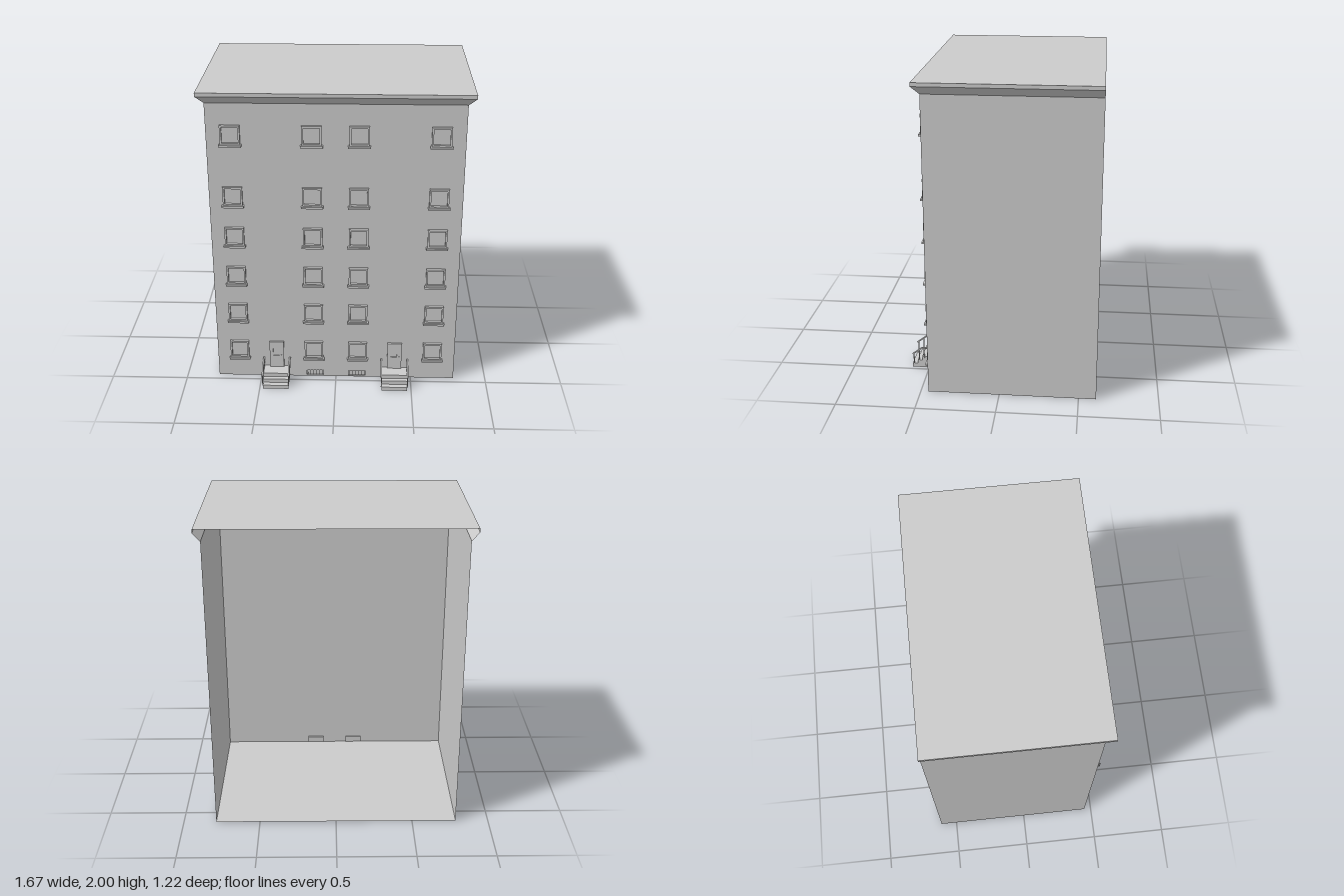
import * as THREE from 'three';

const material = new THREE.MeshStandardMaterial({ color: 0xcccccc, flatShading: true, side: THREE.DoubleSide });
const W = 0.787, FRONT = 0.452, BACK = -0.61, EAVE = 1.925;

function add(parent, name, geometry, x = 0, y = 0, z = 0) {
  const mesh = new THREE.Mesh(geometry, material);
  mesh.name = name;
  mesh.position.set(x, y, z);
  parent.add(mesh);
  return mesh;
}

const box = (w, h, d) => new THREE.BoxGeometry(w, h, d);

function rect(path, x0, y0, x1, y1) {
  path.moveTo(x0, y0);
  path.lineTo(x1, y0);
  path.lineTo(x1, y1);
  path.lineTo(x0, y1);
  path.closePath();
  return path;
}

// Sheet spanned between rows of points
function sheet(rows) {
  const pos = [];
  for (let i = 0; i < rows.length - 1; i++) {
    for (let j = 0; j < rows[i].length - 1; j++) {
      const a = rows[i][j], b = rows[i][j + 1], c = rows[i + 1][j + 1], d = rows[i + 1][j];
      pos.push(...a, ...b, ...c, ...a, ...c, ...d);
    }
  }
  const g = new THREE.BufferGeometry();
  g.setAttribute('position', new THREE.Float32BufferAttribute(pos, 3));
  g.computeVertexNormals();
  return g;
}

// Bar between two points in the side plane (x fixed)
function bar(parent, name, x, [z0, y0], [z1, y1], w, h) {
  const mesh = add(parent, name, box(w, h, Math.hypot(z1 - z0, y1 - y0)), x, (y0 + y1) / 2, (z0 + z1) / 2);
  mesh.rotation.x = -Math.atan2(y1 - y0, z1 - z0);
}

// Framed window with a projecting sill; origin at the sill's bottom centre
function makeWindow() {
  const g = new THREE.Group();
  g.name = 'window';
  const s = rect(new THREE.Shape(), -0.061, 0.01, 0.061, 0.135);
  s.holes.push(rect(new THREE.Path(), -0.05, 0.022, 0.05, 0.124));
  add(g, 'windowFrame', new THREE.ExtrudeGeometry(s, { depth: 0.018, bevelEnabled: false }));
  add(g, 'windowPane', new THREE.PlaneGeometry(0.1, 0.102), 0, 0.073, 0.002);
  add(g, 'windowSill', box(0.137, 0.012, 0.03), 0, 0.006, 0.015);
  return g;
}

// Door, steps and railings
function makeEntrance() {
  const g = new THREE.Group();
  g.name = 'entrance';

  // Door leaf with a sunken upper panel and a handle
  const leaf = rect(new THREE.Shape(), -0.047, 0.078, 0.047, 0.27);
  leaf.holes.push(rect(new THREE.Path(), -0.024, 0.165, 0.016, 0.245));
  add(g, 'door', new THREE.ExtrudeGeometry(leaf, { depth: 0.013, bevelEnabled: false }), 0, 0, FRONT);
  add(g, 'doorPanel', new THREE.PlaneGeometry(0.04, 0.08), -0.004, 0.205, FRONT + 0.006);
  add(g, 'doorHandle', box(0.006, 0.022, 0.005), 0.031, 0.16, FRONT + 0.015);

  // Hollow flight of three steps
  const profile = [[0.61, 0], [0.61, 0.026], [0.576, 0.026], [0.576, 0.052],
    [0.546, 0.052], [0.546, 0.078], [FRONT, 0.078]];
  add(g, 'steps', sheet(profile.map(([z, y]) => [[-0.084, y, z], [0.084, y, z]])));
  const side = new THREE.Shape([...profile, [FRONT, 0]].map(([z, y]) => new THREE.Vector2(-z, y)));
  for (const s of [-1, 1]) {
    add(g, 'stepSide', new THREE.ShapeGeometry(side), s * 0.084).rotation.y = Math.PI / 2;

    // Handrail and balusters
    const x = s * 0.086;
    bar(g, 'handrail', x, [FRONT, 0.142], [0.548, 0.142], 0.01, 0.008);
    bar(g, 'handrail', x, [0.546, 0.142], [0.608, 0.096], 0.01, 0.008);
    for (const [z, y0, y1] of [[0.6, 0.02, 0.1], [0.565, 0.05, 0.126], [0.532, 0.07, 0.142],
      [0.5, 0.07, 0.142], [0.468, 0.07, 0.142]]) {
      add(g, 'baluster', box(0.006, y1 - y0, 0.006), x, (y0 + y1) / 2, z);
    }
  }
  return g;
}

export function createModel() {
  const model = new THREE.Group();
  model.name = 'apartmentBuilding';

  // Front wall with two cellar openings
  const wall = rect(new THREE.Shape(), -W, 0, W, EAVE);
  for (const s of [-1, 1]) {
    wall.holes.push(rect(new THREE.Path(), s * 0.14 - 0.056, 0.006, s * 0.14 + 0.056, 0.046));
  }
  add(model, 'frontWall', new THREE.ShapeGeometry(wall), 0, 0, FRONT);

  // Side walls and floor; the back is open
  const depth = FRONT - BACK, midZ = (FRONT + BACK) / 2;
  for (const s of [-1, 1]) {
    add(model, 'sideWall', new THREE.PlaneGeometry(depth, EAVE), s * W, EAVE / 2, midZ).rotation.y = s * Math.PI / 2;
  }
  add(model, 'floor', new THREE.PlaneGeometry(2 * W, depth), 0, 0, midZ).rotation.x = Math.PI / 2;

  // Flared cornice around three sides, and the flat roof
  const loop = (o, y) => [[-W - o, y, BACK], [-W - o, y, FRONT + o], [W + o, y, FRONT + o], [W + o, y, BACK]];
  add(model, 'cornice', sheet([loop(0.046, 2), loop(0.046, 1.977), loop(0, EAVE)]));
  add(model, 'roof', new THREE.PlaneGeometry(2 * W + 0.092, depth + 0.046), 0, 2, midZ + 0.023).rotation.x = -Math.PI / 2;

  // Window grid
  for (const y of [0.139, 0.421, 0.695, 0.972, 1.25, 1.653]) {
    for (const x of [-0.64, -0.146, 0.144, 0.639]) {
      const w = makeWindow();
      w.position.set(x, y, FRONT);
      model.add(w);
    }
  }

  // Entrances
  for (const x of [-0.394, 0.389]) {
    const e = makeEntrance();
    e.position.x = x;
    model.add(e);
  }

  // Barred cellar windows in shallow recesses
  for (const s of [-1, 1]) {
    const g = new THREE.Group();
    g.name = 'cellarWindow';
    g.position.set(s * 0.14, 0.026, FRONT);
    const ring = (z) => [[-0.056, -0.02, z], [0.056, -0.02, z], [0.056, 0.02, z], [-0.056, 0.02, z], [-0.056, -0.02, z]];
    add(g, 'recess', sheet([ring(0), ring(-0.012)]));
    add(g, 'cellarPane', new THREE.PlaneGeometry(0.112, 0.04), 0, 0, -0.012);
    for (let i = 0; i < 6; i++) {
      add(g, 'cellarBar', box(0.005, 0.04, 0.005), -0.05 + i * 0.02, 0, -0.003);
    }
    model.add(g);
  }
  return model;
}
